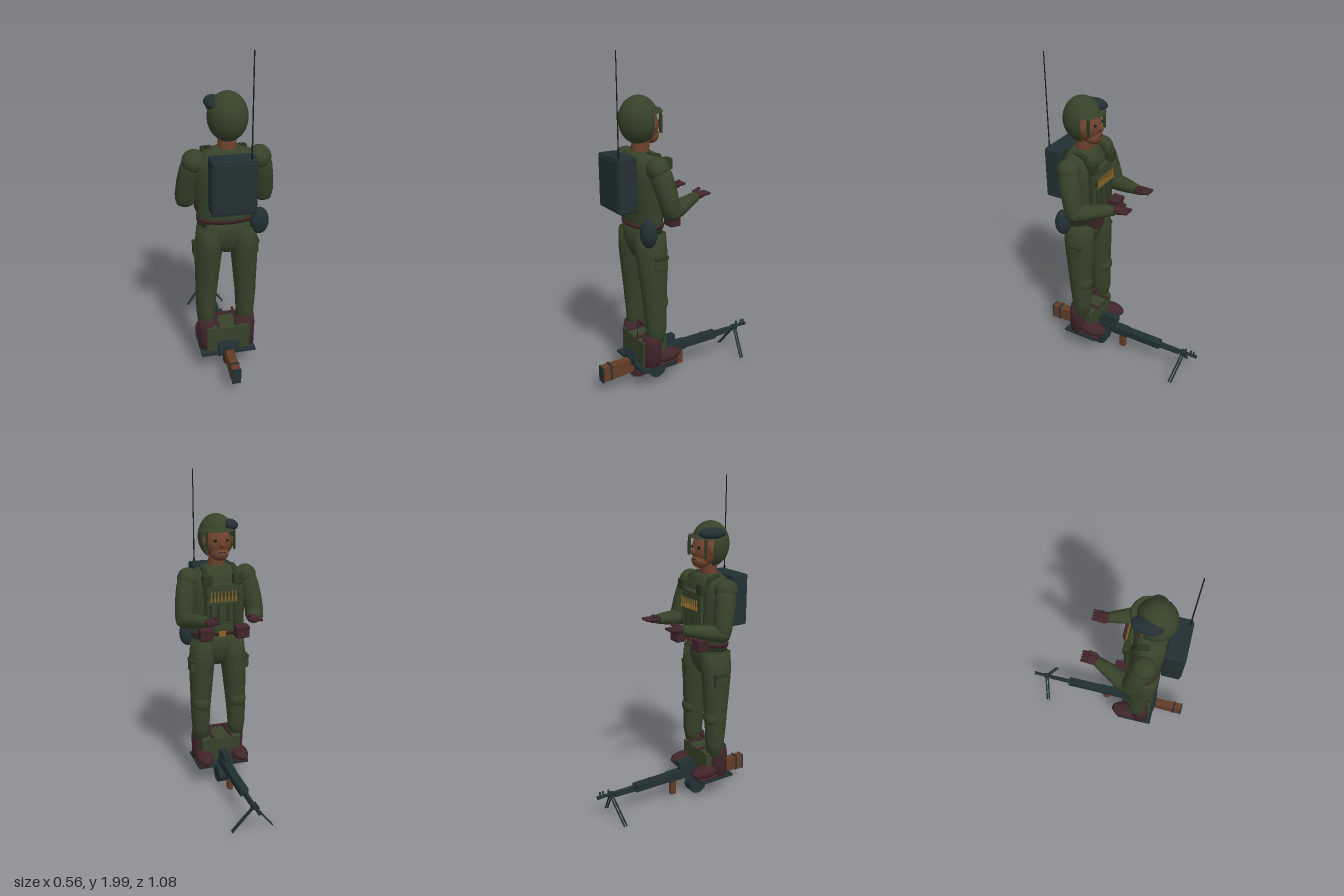
import * as THREE from 'three';
import { RoundedBoxGeometry } from 'three/addons/geometries/RoundedBoxGeometry.js';

const mat = (name, color, side = THREE.FrontSide) => {
  const m = new THREE.MeshStandardMaterial({ color, side });
  m.name = name;
  return m;
};

// Smooth body through cross-sections [x, y, z, radius across, radius along]
function loft(sections, n = 20) {
  const c = sections.map(s => new THREE.Vector3(s[0], s[1], s[2]));
  const pos = [], idx = [], last = c.length - 1;
  sections.forEach((s, i) => {
    const t = c[Math.min(i + 1, last)].clone().sub(c[Math.max(i - 1, 0)]).normalize();
    const u = new THREE.Vector3(1, 0, 0).addScaledVector(t, -t.x).normalize();
    const v = t.clone().cross(u);
    for (let j = 0; j < n; j++) {
      const a = j / n * Math.PI * 2;
      const p = c[i].clone().addScaledVector(u, s[3] * Math.cos(a)).addScaledVector(v, s[4] * Math.sin(a));
      pos.push(p.x, p.y, p.z);
      const k = i * n + j, l = i * n + (j + 1) % n;
      if (i < last) idx.push(k, l, k + n, l, l + n, k + n);
    }
  });
  pos.push(...c[0].toArray(), ...c[last].toArray());
  const e = (last + 1) * n;
  for (let j = 0; j < n; j++) {
    const k = (j + 1) % n;
    idx.push(e, k, j, e + 1, last * n + j, last * n + k);
  }
  const g = new THREE.BufferGeometry();
  g.setAttribute('position', new THREE.Float32BufferAttribute(pos, 3));
  g.setIndex(idx);
  g.computeVertexNormals();
  return g;
}

// Side outline given as [z, y] points, extruded across x
function sideShape(points, width) {
  const s = new THREE.Shape(points.map(p => new THREE.Vector2(p[0], p[1])));
  return new THREE.ExtrudeGeometry(s, { depth: width, bevelEnabled: false })
    .rotateY(-Math.PI / 2).translate(width / 2, 0, 0);
}

// Straight rod between two points
function rod(a, b, r, r2 = r, n = 10) {
  const p = new THREE.Vector3(...a), q = new THREE.Vector3(...b), d = q.clone().sub(p);
  const g = new THREE.CylinderGeometry(r2, r, d.length(), n);
  g.applyQuaternion(new THREE.Quaternion().setFromUnitVectors(new THREE.Vector3(0, 1, 0), d.normalize()));
  return g.translate(...p.add(q).multiplyScalar(0.5).toArray());
}

const box = (x, y, z, w, h, d) => new THREE.BoxGeometry(w, h, d).translate(x, y, z);
const soft = (x, y, z, w, h, d, r = 0.008) => new RoundedBoxGeometry(w, h, d, 2, r).translate(x, y, z);
const ball = (x, y, z, a, b, c, n = 20) => new THREE.SphereGeometry(1, n, Math.round(n * 0.7)).scale(a, b, c).translate(x, y, z);

export function createModel() {
  const root = new THREE.Group();
  const green = mat('olive cloth', 0x37422a), shell = mat('olive helmet', 0x37422a, THREE.DoubleSide);
  const kit = mat('dark olive kit', 0x2c3822), metal = mat('blue grey metal', 0x223033);
  const leather = mat('dark brown leather', 0x40252a), skin = mat('skin', 0x6e422e);
  const wood = mat('wood', 0x633d27), brass = mat('brass', 0x8a6428), black = mat('black', 0x151a1a);
  const group = name => { const g = new THREE.Group(); g.name = name; root.add(g); return g; };
  const add = (parent, name, geo, m) => {
    const o = new THREE.Mesh(geo, m);
    o.name = name;
    parent.add(o);
    return o;
  };

  // Head and helmet
  const head = group('head');
  add(head, 'neck', rod([0, 1.4, 0.25], [0, 1.54, 0.24], 0.052, 0.05, 18), skin);
  add(head, 'face', ball(0, 1.59, 0.222, 0.08, 0.1, 0.085), skin);
  add(head, 'jaw', ball(0, 1.528, 0.185, 0.055, 0.045, 0.052), skin);
  add(head, 'nose', ball(0, 1.585, 0.137, 0.015, 0.022, 0.02, 10), skin);
  add(head, 'mouth', box(0, 1.54, 0.138, 0.04, 0.006, 0.008), leather);
  const sphere = (...a) => new THREE.SphereGeometry(1, 24, ...a).scale(0.11, 0.135, 0.115).translate(0, 1.62, 0.253);
  add(head, 'helmetDome', sphere(9, 0, Math.PI * 2, 0, 1.3), shell);
  add(head, 'helmetSides', sphere(9, -Math.PI / 2 + 1.15, Math.PI * 2 - 2.3, 1.3, 1.55), shell);
  add(head, 'helmetBrim', new THREE.CylinderGeometry(0.1, 0.108, 0.014, 24).rotateX(0.08).translate(0, 1.664, 0.222), green);
  add(head, 'helmetPatch', ball(-0.068, 1.69, 0.22, 0.053, 0.034, 0.088, 16), metal);
  for (const s of [-1, 1]) {
    add(head, 'eye', ball(s * 0.032, 1.608, 0.151, 0.015, 0.009, 0.007, 10), black);
    add(head, 'ear', ball(s * 0.085, 1.595, 0.205, 0.014, 0.03, 0.02, 12), skin);
    add(head, 'helmetStrap', soft(s * 0.085, 1.607, 0.163, 0.012, 0.11, 0.018, 0.004), kit);
  }

  // Torso, pelvis and belt
  const body = group('body');
  add(body, 'jacket', loft([
    [0, 1.0, 0.24, 0.166, 0.092], [0, 1.06, 0.24, 0.17, 0.096], [0, 1.18, 0.243, 0.174, 0.1],
    [0, 1.3, 0.245, 0.188, 0.105], [0, 1.38, 0.25, 0.185, 0.1], [0, 1.43, 0.25, 0.13, 0.08], [0, 1.45, 0.25, 0.07, 0.06]], 28), green);
  add(body, 'belt', loft([[0, 1.027, 0.24, 0.173, 0.1], [0, 1.048, 0.24, 0.173, 0.1]], 28), leather);
  add(body, 'pelvis', loft([
    [0, 0.815, 0.245, 0.03, 0.03], [0, 0.84, 0.245, 0.065, 0.06], [0, 0.88, 0.245, 0.1, 0.08],
    [0, 0.94, 0.243, 0.155, 0.095], [0, 1.03, 0.24, 0.166, 0.094]], 28), green);

  // Chest webbing, cartridges and pouches
  const vest = group('webbing');
  add(vest, 'chestPanel', soft(0, 1.24, 0.138, 0.2, 0.23, 0.03), green);
  add(vest, 'cartridgeBelt', box(0, 1.28, 0.118, 0.2, 0.024, 0.012), kit);
  for (let i = 0; i < 8; i++) {
    const x = -0.077 + i * 0.022;
    add(vest, 'cartridge', rod([x, 1.25, 0.106], [x, 1.312, 0.106], 0.007, 0.003, 8), brass);
  }
  for (const s of [-1, 1]) {
    add(vest, 'shoulderStrap', sideShape([[0.14, 1.08], [0.14, 1.36], [0.18, 1.44], [0.25, 1.455], [0.25, 1.445], [0.19, 1.42], [0.155, 1.35], [0.155, 1.08]], 0.03).translate(s * 0.095, 0, 0), kit);
    add(vest, 'chestPouch', soft(s * 0.095, 1.38, 0.128, 0.06, 0.065, 0.04), kit);
    for (const x of [0.03, 0.075]) add(vest, 'pen', rod([s * x, 1.12, 0.12], [s * x, 1.23, 0.12], 0.009), kit);
    add(vest, 'beltPouch', soft(s * 0.115, 1.055, 0.108, 0.08, 0.075, 0.07), leather);
    add(vest, 'pouchFlap', soft(s * 0.115, 1.082, 0.106, 0.086, 0.025, 0.076), leather);
  }
  add(vest, 'buckle', soft(0, 1.038, 0.135, 0.045, 0.035, 0.012, 0.004), brass);
  add(vest, 'canteen', ball(0.175, 1.015, 0.3, 0.054, 0.08, 0.046), metal);

  // Radio pack with whip antenna
  const pack = group('radioPack');
  add(pack, 'packBody', soft(0, 1.285, 0.39, 0.248, 0.31, 0.11, 0.01), metal);
  add(pack, 'packLid', soft(0, 1.285, 0.439, 0.225, 0.28, 0.024, 0.006), metal);
  add(pack, 'antennaBase', rod([0.09, 1.43, 0.43], [0.09, 1.46, 0.43], 0.006), black);
  add(pack, 'antenna', rod([0.09, 1.44, 0.43], [0.09, 2.0, 0.43], 0.004, 0.003, 6), black);

  // Arms, gloves, legs and boots, mirrored
  for (const s of [-1, 1]) {
    const arm = group(s > 0 ? 'leftArm' : 'rightArm');
    add(arm, 'shoulder', ball(s * 0.182, 1.375, 0.24, 0.066, 0.067, 0.068), green);
    add(arm, 'upperArm', loft([[0.222, 1.11, 0.18, 0.05, 0.048], [0.224, 1.16, 0.187, 0.057, 0.056], [0.216, 1.24, 0.205, 0.058, 0.06],
      [0.2, 1.32, 0.225, 0.06, 0.064], [0.185, 1.39, 0.24, 0.052, 0.058]].map(p => [s * p[0], ...p.slice(1)])), green);
    add(arm, 'elbow', ball(s * 0.222, 1.135, 0.18, 0.056, 0.05, 0.056), green);
    add(arm, 'forearm', loft([[0.224, 1.135, 0.19, 0.05, 0.045], [0.205, 1.142, 0.13, 0.054, 0.046], [0.17, 1.158, 0.05, 0.043, 0.039],
      [0.138, 1.172, -0.03, 0.032, 0.028]].map(p => [s * p[0], ...p.slice(1)])), green);
    add(arm, 'glove', ball(s * 0.13, 1.178, -0.055, 0.037, 0.024, 0.043, 14), leather);
    for (let i = 0; i < 4; i++) {
      const x = s * (0.103 + i * 0.018);
      add(arm, 'finger', rod([x, 1.18, -0.06], [x, 1.184, -0.122], 0.011, 0.008, 8), leather);
    }
    add(arm, 'thumb', rod([s * 0.108, 1.19, -0.04], [s * 0.104, 1.208, -0.085], 0.012, 0.009, 8), leather);

    const leg = group(s > 0 ? 'leftLeg' : 'rightLeg');
    add(leg, 'trouserLeg', loft([[0.118, 0.32, 0.235, 0.05, 0.055], [0.12, 0.4, 0.225, 0.055, 0.062], [0.119, 0.52, 0.23, 0.062, 0.068],
      [0.115, 0.6, 0.232, 0.066, 0.074], [0.11, 0.72, 0.235, 0.073, 0.085], [0.102, 0.86, 0.24, 0.08, 0.096],
      [0.092, 0.98, 0.242, 0.078, 0.095]].map(p => [s * p[0], ...p.slice(1)])), green);
    add(leg, 'kneePatch', ball(s * 0.118, 0.57, 0.21, 0.06, 0.065, 0.06), green);
    add(leg, 'thighPocket', soft(s * 0.172, 0.825, 0.22, 0.035, 0.085, 0.08), green);
    add(leg, 'pocketFlap', soft(s * 0.174, 0.858, 0.22, 0.038, 0.024, 0.086), kit);
    add(leg, 'bootShaft', loft([[0.118, 0.17, 0.26, 0.052, 0.055], [0.118, 0.25, 0.255, 0.055, 0.058],
      [0.118, 0.31, 0.255, 0.057, 0.058], [0.118, 0.36, 0.25, 0.052, 0.056]].map(p => [s * p[0], ...p.slice(1)])), leather);
    add(leg, 'bootFoot', ball(s * 0.118, 0.207, 0.155, 0.054, 0.04, 0.098), leather);
    add(leg, 'bootSole', soft(s * 0.118, 0.174, 0.19, 0.09, 0.02, 0.2, 0.009), leather);
  }

  // Radio box and board under the boots
  const crate = group('radioBox');
  add(crate, 'board', box(0, 0.154, 0.225, 0.33, 0.016, 0.23), metal);
  add(crate, 'boxBody', soft(0, 0.245, 0.24, 0.262, 0.17, 0.16), green);
  add(crate, 'rearPanel', sideShape([[0.32, 0.15], [0.32, 0.23], [0.332, 0.23], [0.345, 0.19], [0.345, 0.15]], 0.13), metal);
  add(crate, 'handleBar', box(-0.01, 0.378, 0.24, 0.145, 0.014, 0.014), leather);
  for (const x of [-0.055, 0.052]) add(crate, 'handlePost', rod([x, 0.32, 0.24], [x, 0.378, 0.24], 0.005), leather);
  for (const s of [-1, 1]) add(crate, 'sideRail', box(s * 0.06, 0.34, 0.235, 0.014, 0.012, 0.18), leather);
  add(crate, 'boxAntenna', rod([0.042, 0.32, 0.31], [0.042, 0.435, 0.31], 0.003, 0.002, 6), black);

  // Machine gun lying along z
  const gun = group('machineGun');
  add(gun, 'receiver', box(0, 0.172, 0.15, 0.052, 0.055, 0.4), metal);
  add(gun, 'handguard', box(0, 0.172, -0.165, 0.05, 0.045, 0.24), metal);
  add(gun, 'topCover', box(0, 0.243, 0.085, 0.044, 0.034, 0.11), metal);
  add(gun, 'coverBase', box(0, 0.21, 0.11, 0.036, 0.04, 0.14), metal);
  add(gun, 'rearSight', rod([0, 0.19, -0.18], [0, 0.208, -0.18], 0.009), metal);
  add(gun, 'barrel', rod([0, 0.18, -0.27], [0, 0.18, -0.535], 0.012, 0.01, 14), metal);
  add(gun, 'gasTube', rod([0, 0.155, -0.27], [0, 0.16, -0.42], 0.01), metal);
  add(gun, 'muzzle', rod([0, 0.18, -0.495], [0, 0.18, -0.538], 0.009, 0.012, 12), metal);
  add(gun, 'barrelCollar', box(0, 0.175, -0.447, 0.03, 0.03, 0.03), metal);
  for (const z of [-0.465, -0.5, -0.52]) add(gun, 'frontSight', box(0, 0.196, z, 0.008, 0.036, 0.008), metal);
  add(gun, 'stock', sideShape([[0.33, 0.18], [0.53, 0.178], [0.535, 0.085], [0.5, 0.085], [0.33, 0.1]], 0.05), wood);
  add(gun, 'buttPlate', box(0, 0.13, 0.533, 0.054, 0.1, 0.008), metal);
  add(gun, 'stockBand', box(0, 0.135, 0.48, 0.054, 0.098, 0.012), metal);
  add(gun, 'pistolGrip', sideShape([[0.24, 0.15], [0.31, 0.15], [0.33, 0.06], [0.27, 0.04]], 0.042), leather);
  add(gun, 'triggerGuard', new THREE.TorusGeometry(0.028, 0.004, 6, 16).rotateY(Math.PI / 2).translate(0, 0.125, 0.225), metal);
  add(gun, 'drum', rod([-0.034, 0.072, 0.165], [0.034, 0.072, 0.165], 0.06, 0.06, 24), metal);
  add(gun, 'drumNeck', box(0, 0.135, 0.165, 0.04, 0.04, 0.06), metal);
  add(gun, 'foreGrip', soft(0, 0.095, -0.01, 0.036, 0.1, 0.04), wood);
  for (const s of [-1, 1]) for (const d of [0, 0.016]) {
    add(gun, 'bipodLeg', rod([s * 0.01, 0.165, -0.455 + d], [s * 0.125, 0.012, -0.427 + d], 0.005, 0.005, 8), metal);
  }
  return root;
}
